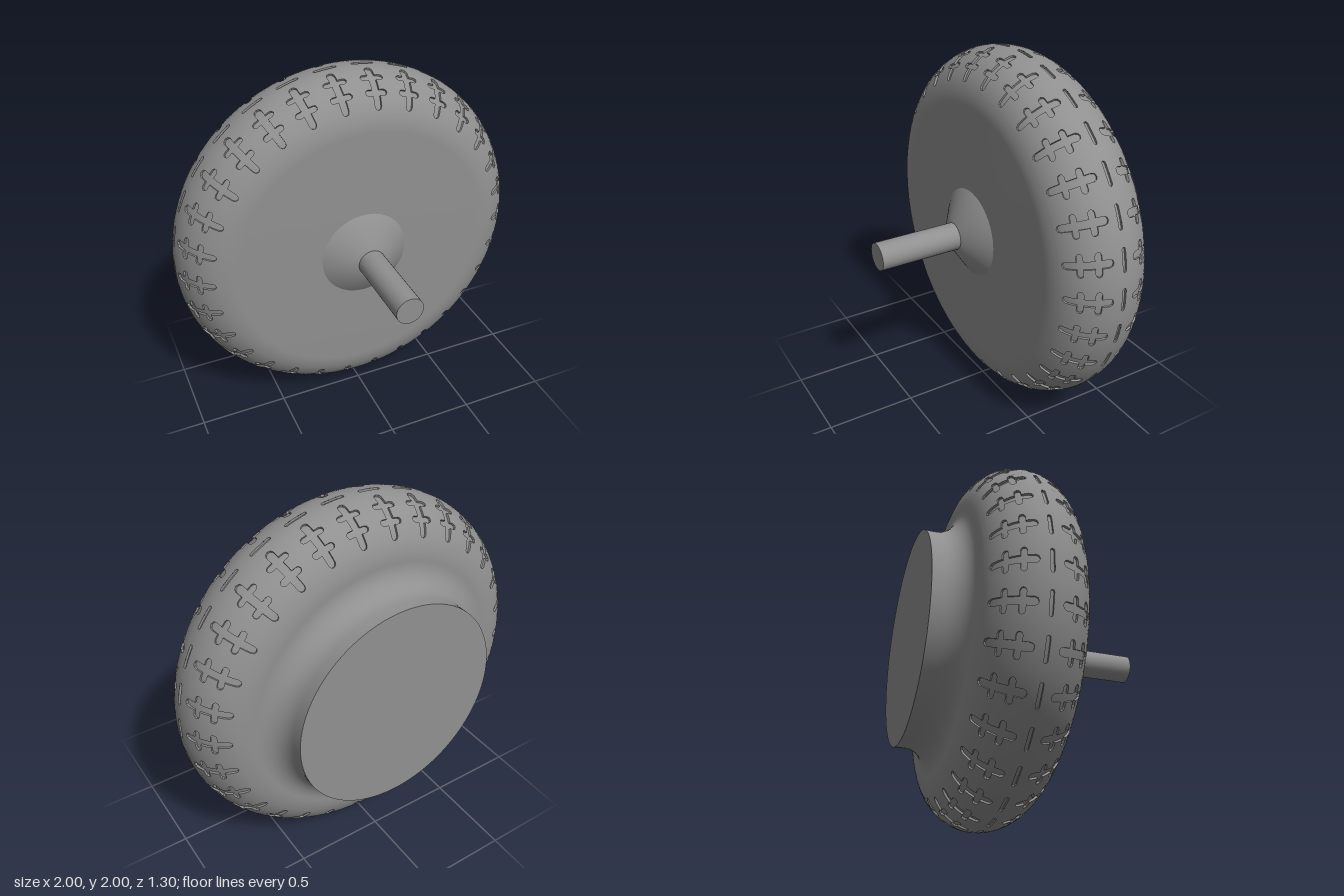
import * as THREE from 'three';
import { toCreasedNormals } from 'three/addons/utils/BufferGeometryUtils.js';

const RING = 0.7275, R = 0.2725, ZC = -0.1875; // tyre section: centre radius, arc radius, mid plane
const COUNT = 30, STEP = (Math.PI * 2) / COUNT, CROWN = 0.95;
const HALF_U = CROWN * STEP / 2, V_MID = 0.05, V_END = 0.33;
const DEPTH = 0.011, MAX_EDGE = 0.05, Q = Math.PI / 2;
const V2 = (x, y) => new THREE.Vector2(x, y);
const material = new THREE.MeshStandardMaterial({ color: 0x909090 });

// Points along an arc, ends included
function arc(cx, cy, r, from, to, n) {
  return Array.from({ length: n + 1 }, (_, i) => {
    const a = from + (to - from) * i / n;
    return V2(cx + r * Math.cos(a), cy + r * Math.sin(a));
  });
}

// Surface of revolution around the z axis; profile points are (radius, z), back to front
function turned(name, profile, segments) {
  const geo = new THREE.LatheGeometry(profile, segments).rotateX(Math.PI / 2);
  const mesh = new THREE.Mesh(toCreasedNormals(geo, 0.6), material);
  mesh.name = name;
  return mesh;
}

// Tread groove outlines, counter-clockwise, u around the tyre and v across it
function crossOutline() {
  const bars = [0.132, 0.222], h = 0.016, w = 0.02, len = 0.062, low = 0.058, high = 0.314;
  const right = bars.flatMap(c => [V2(w, c - h), ...arc(len - h, c, h, -Q, Q, 4), V2(w, c + h)]);
  const left = right.map(p => V2(-p.x, p.y)).reverse();
  return [
    ...right, ...arc(0, high - w, w, 0, 2 * Q, 4),
    ...left, ...arc(0, low + w, w, 2 * Q, 4 * Q, 4),
  ];
}
function dashOutline() {
  return [...arc(0.05, 0, 0.01, -Q, Q, 4), ...arc(-0.05, 0, 0.01, Q, 3 * Q, 4)];
}

// Triangulate a flat outline, halving long edges so it can follow the tyre curve
function flatTriangles(points, hole) {
  const shape = new THREE.Shape(points);
  if (hole) shape.holes.push(new THREE.Path(hole));
  const geo = new THREE.ShapeGeometry(shape).toNonIndexed();
  const p = geo.attributes.position, out = [];
  const split = (a, b, c) => {
    const ab = a.distanceTo(b), bc = b.distanceTo(c), ca = c.distanceTo(a);
    const longest = Math.max(ab, bc, ca);
    if (longest <= MAX_EDGE) { out.push(a, b, c); return; }
    if (longest === bc) [a, b, c] = [b, c, a];
    else if (longest === ca) [a, b, c] = [c, a, b];
    const m = a.clone().lerp(b, 0.5);
    split(a, m, c);
    split(m, b, c);
  };
  for (let i = 0; i < p.count; i += 3) {
    split(...[0, 1, 2].map(k => V2(p.getX(i + k), p.getY(i + k))));
  }
  return out;
}

// One tread patch of (u, v, depth, smooth): outer skin, groove floor and groove walls
function patch(v0, v1, groove) {
  const border = [V2(-HALF_U, v0), V2(HALF_U, v0), V2(HALF_U, v1), V2(-HALF_U, v1)];
  const out = [];
  const add = (p, d, smooth) => out.push([p.x, p.y, d, smooth]);
  flatTriangles(border, groove).forEach(p => add(p, 0, true));
  flatTriangles(groove).forEach(p => add(p, DEPTH, true));
  groove.forEach((a, i) => {
    const b = groove[(i + 1) % groove.length];
    const n = 2 ** Math.max(0, Math.ceil(Math.log2(a.distanceTo(b) / MAX_EDGE)));
    for (let k = 0; k < n; k++) {
      const p = a.clone().lerp(b, k / n), q = a.clone().lerp(b, (k + 1) / n);
      add(p, 0, false); add(q, 0, false); add(q, DEPTH, false);
      add(p, 0, false); add(q, DEPTH, false); add(p, DEPTH, false);
    }
  });
  return out;
}

// Grooved tread band: one sector repeated around the tyre
function treadBand() {
  const cross = crossOutline();
  const mirrored = cross.map(p => V2(p.x, -p.y)).reverse();
  const sector = [
    ...patch(V_MID, V_END, cross),
    ...patch(-V_MID, V_MID, dashOutline()),
    ...patch(-V_END, -V_MID, mirrored),
  ];
  const verts = [];
  for (let i = 0; i < COUNT; i++) {
    for (const [u, v, d, smooth] of sector) {
      const t = i * STEP + u / CROWN, a = v / R;
      const normal = [Math.cos(a) * Math.cos(t), Math.cos(a) * Math.sin(t), Math.sin(a)];
      const centre = [RING * Math.cos(t), RING * Math.sin(t), ZC];
      verts.push({ normal, smooth, point: centre.map((c, k) => c + (R - d) * normal[k]) });
    }
  }
  const geo = new THREE.BufferGeometry();
  geo.setAttribute('position', new THREE.Float32BufferAttribute(verts.flatMap(v => v.point), 3));
  geo.computeVertexNormals();
  verts.forEach((v, i) => { if (v.smooth) geo.attributes.normal.setXYZ(i, ...v.normal); });
  const mesh = new THREE.Mesh(geo, material);
  mesh.name = 'treadBand';
  return mesh;
}

export function createModel() {
  const group = new THREE.Group();
  group.name = 'wheel';
  const edge = V_END / R, back = ZC - R, front = ZC + R;

  group.add(treadBand());

  // Rear flange with concave fillet, running into the rear sidewall
  group.add(turned('rearFlangeAndSidewall', [
    V2(0, -0.65), V2(0.59, -0.65),
    ...arc(0.72, back - 0.13, 0.13, 2 * Q, Q, 8),
    ...arc(RING, ZC, R, -Q, -edge, 6),
  ], 120));

  // Front sidewall and flat face
  group.add(turned('frontSidewall', [
    ...arc(RING, ZC, R, edge, Q, 6), V2(0, front),
  ], 120));

  // Conical hub and axle
  group.add(turned('hubCone', [V2(0.25, front), V2(0.095, 0.187), V2(0, 0.187)], 48));
  group.add(turned('axle', [V2(0.077, 0.18), V2(0.077, 0.65), V2(0, 0.65)], 32));

  group.children.forEach(part => { part.position.y = 1; });
  return group;
}
